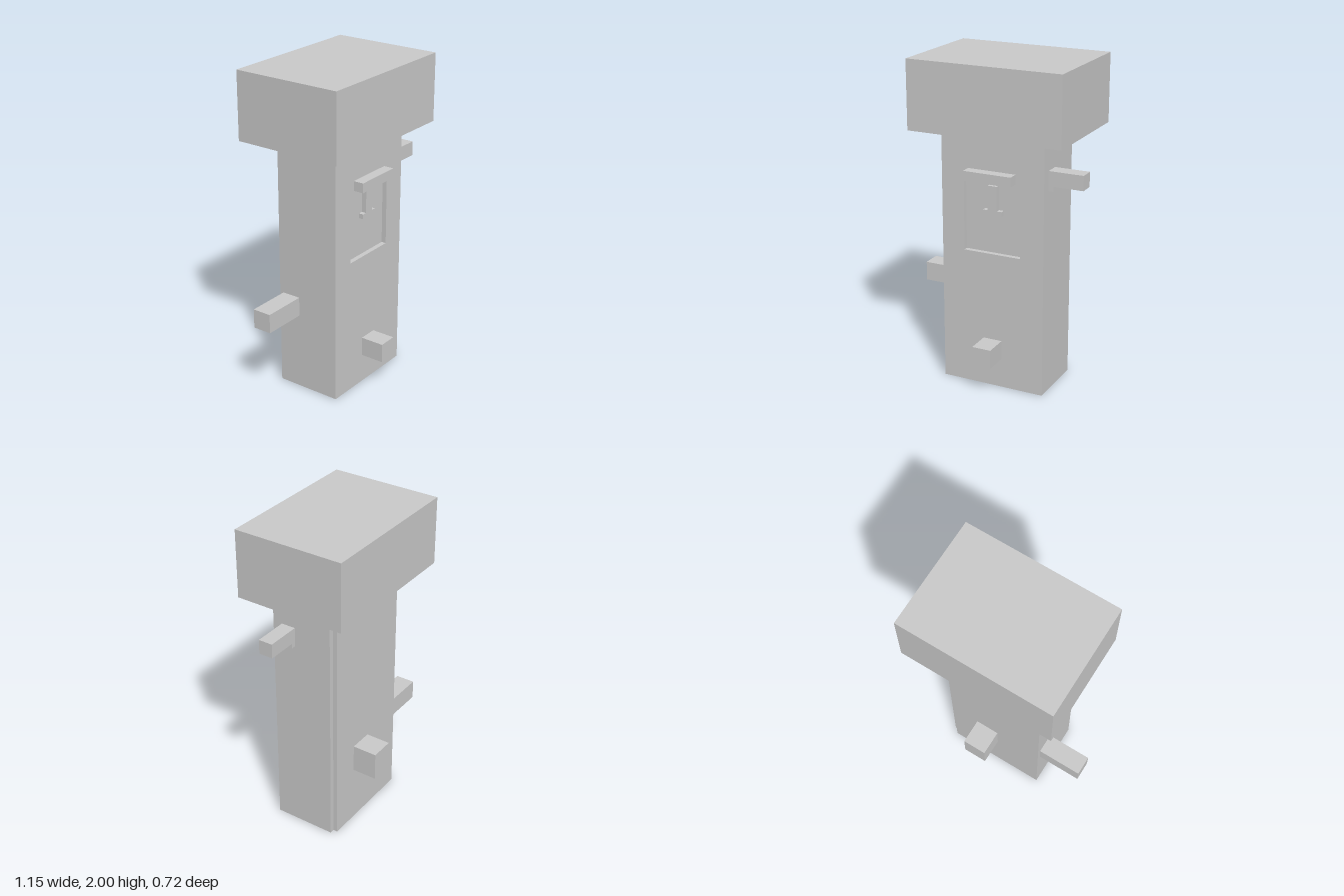
import * as THREE from 'three';

const material = new THREE.MeshStandardMaterial({ color: 0xcccccc, flatShading: true });

// Box given by its limits on each axis
function block(name, [x0, x1], [y0, y1], [z0, z1]) {
  const mesh = new THREE.Mesh(new THREE.BoxGeometry(x1 - x0, y1 - y0, z1 - z0), material);
  mesh.position.set((x0 + x1) / 2, (y0 + y1) / 2, (z0 + z1) / 2);
  mesh.name = name;
  return mesh;
}

function rectangle(PathType, x0, x1, y0, y1) {
  return new PathType([[x0, y0], [x1, y0], [x1, y1], [x0, y1]].map(p => new THREE.Vector2(...p)));
}

export function createModel() {
  const model = new THREE.Group();
  model.name = 'tower';

  // Column footprint, with a square notch down the back left corner
  const footprint = new THREE.Shape([
    [-0.3, -0.18], [0.36, -0.18], [0.36, 0.18], [0.33, 0.18], [0.33, 0.207], [-0.3, 0.207],
  ].map(p => new THREE.Vector2(...p)));
  const columnGeometry = new THREE.ExtrudeGeometry(footprint, { depth: 1.58, bevelEnabled: false });
  columnGeometry.rotateX(-Math.PI / 2);
  const column = new THREE.Mesh(columnGeometry, material);
  column.name = 'column';
  model.add(column);

  // Front wall with the window recess
  const wall = rectangle(THREE.Shape, -0.3, 0.36, 0, 1.58);
  wall.holes.push(rectangle(THREE.Path, -0.155, 0.21, 0.855, 1.305));
  const frontWall = new THREE.Mesh(
    new THREE.ExtrudeGeometry(wall, { depth: 0.03, bevelEnabled: false }), material);
  frontWall.position.z = 0.18;
  frontWall.name = 'frontWall';
  model.add(frontWall);

  model.add(
    block('cap', [-0.455, 0.515], [1.58, 2], [-0.362, 0.332]),
    // Window fittings
    block('windowHood', [-0.125, 0.18], [1.305, 1.365], [0.21, 0.275]),
    block('windowStem', [0, 0.06], [1.125, 1.275], [0.18, 0.21]),
    block('windowFoot', [-0.03, 0.09], [1.095, 1.125], [0.18, 0.21]),
    // Projections on the four sides
    block('frontPeg', [-0.03, 0.09], [0.185, 0.305], [0.21, 0.36]),
    block('backPeg', [0, 0.15], [0.367, 0.545], [-0.362, -0.207]),
    block('rightBeam', [-0.577, -0.3], [0.487, 0.607], [-0.182, -0.062]),
    block('leftBeam', [0.36, 0.575], [1.305, 1.395], [0.06, 0.15]),
    block('leftBeamBracket', [0.36, 0.39], [1.275, 1.305], [0.06, 0.15]),
  );
  return model;
}
